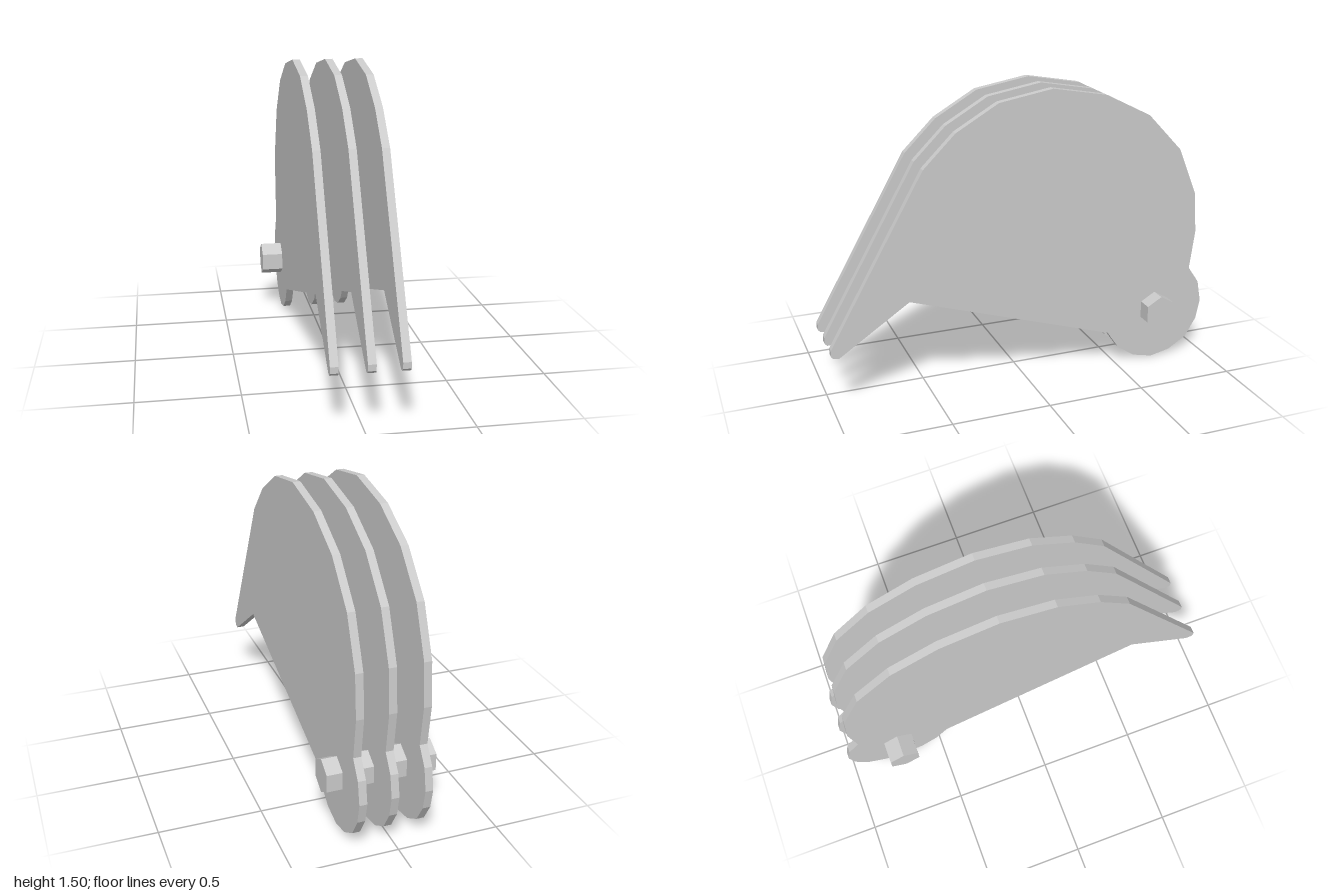
import * as THREE from 'three';

// Side outline of one plate as [z, y], starting at the claw tip
const OUTLINE = [
  [1, 0.33], [1, 0.3], [0.99, 0.288], [0.963, 0.284], [0.608, 0.522], // claw tip and notch
  [-0.453, 0.18], [-0.517, 0.088], [-0.609, 0.025], [-0.716, 0], [-0.823, 0.023],
  [-0.92, 0.083], [-0.979, 0.18], [-1, 0.282], [-0.979, 0.394], [-0.92, 0.48], // pivot lobe
  [-0.946, 0.683], [-0.928, 0.897], [-0.828, 1.138], [-0.646, 1.33], [-0.41, 1.45],
  [-0.126, 1.502], [0.147, 1.455], [0.362, 1.33], [0.523, 1.17], // rounded back
];
const THICKNESS = 0.038;

export function createModel() {
  const group = new THREE.Group();
  group.name = 'clawAssembly';
  const material = new THREE.MeshStandardMaterial({ color: 0xcccccc, flatShading: true });

  // Three identical claw plates, side by side
  const shape = new THREE.Shape(OUTLINE.map(([z, y]) => new THREE.Vector2(z, y)));
  const plate = new THREE.ExtrudeGeometry(shape, { depth: THICKNESS, bevelEnabled: false });
  plate.translate(0, 0, -THICKNESS / 2);
  plate.rotateY(-Math.PI / 2);
  const names = ['rightClawPlate', 'middleClawPlate', 'leftClawPlate'];
  [-0.142, 0.023, 0.177].forEach((x, i) => {
    const mesh = new THREE.Mesh(plate, material);
    mesh.name = names[i];
    mesh.position.x = x;
    group.add(mesh);
  });

  // Hexagonal pivot pin through all plates, one corner pointing up
  const pinGeometry = new THREE.CylinderGeometry(0.088, 0.088, 0.546, 6);
  pinGeometry.rotateZ(Math.PI / 2);
  const pin = new THREE.Mesh(pinGeometry, material);
  pin.name = 'pivotPin';
  pin.position.set(0, 0.285, -0.72);
  // Cylinder corners start on its local z axis; turn them to the vertical
  pin.rotation.x = Math.PI / 2;
  group.add(pin);

  return group;
}
